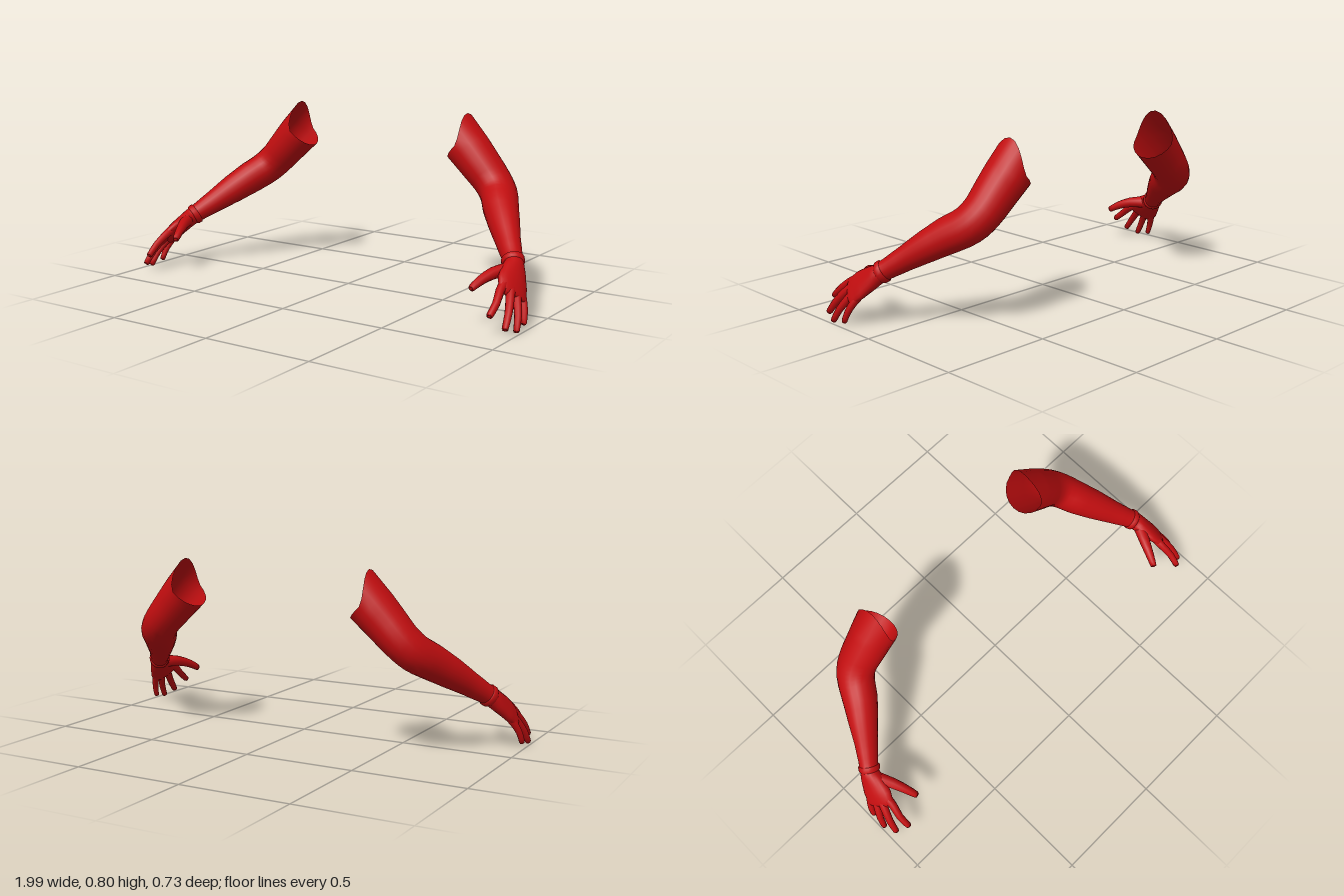
import * as THREE from 'three';

// Direction pointing out of the back of the hand, shared by every cross-section
const OUT = new THREE.Vector3(0.73, 0.68, 0);

// Loft through sections [x, y, z, thickness, width]; s mirrors in x, rim(angle) pulls back the first ring
function loft(sections, s, { sides = 16, steps = 3, rim = null } = {}) {
  const curve = new THREE.CatmullRomCurve3(
    sections.map(([x, y, z]) => new THREE.Vector3(x, y, z)), false, 'catmullrom', 0.5);
  const last = sections.length - 1;
  const rings = last * steps;
  const pos = [], index = [];
  for (let i = 0; i <= rings; i++) {
    const t = i / rings;
    const k = Math.min(Math.floor(i / steps), last - 1);
    const f = i / steps - k;
    const ru = THREE.MathUtils.lerp(sections[k][3], sections[k + 1][3], f);
    const rv = THREE.MathUtils.lerp(sections[k][4], sections[k + 1][4], f);
    const c = curve.getPoint(t);
    const d = curve.getTangent(t);
    const u = OUT.clone().addScaledVector(d, -OUT.dot(d)).normalize();
    const v = d.clone().cross(u);
    for (let j = 0; j < sides; j++) {
      const a = (j / sides) * Math.PI * 2;
      const p = c.clone()
        .addScaledVector(u, ru * Math.cos(a))
        .addScaledVector(v, rv * Math.sin(a));
      if (rim && i === 0) p.addScaledVector(d, -rim(a));
      pos.push(p.x * s, p.y, p.z);
      if (i < rings) {
        const j2 = (j + 1) % sides;
        const A = i * sides + j, B = i * sides + j2, C = A + sides, D = B + sides;
        if (s > 0) index.push(A, B, C, B, D, C);
        else index.push(A, C, B, B, C, D);
      }
    }
  }
  const g = new THREE.BufferGeometry();
  g.setAttribute('position', new THREE.Float32BufferAttribute(pos, 3));
  g.setIndex(index);
  g.computeVertexNormals();
  return g;
}

// Upper arm, elbow and forearm
const SLEEVE = [
  [0.457, 0.658, -0.268, 0.100, 0.102],
  [0.530, 0.582, -0.262, 0.092, 0.096],
  [0.598, 0.510, -0.255, 0.084, 0.090],
  [0.648, 0.458, -0.225, 0.081, 0.086],
  [0.695, 0.412, -0.155, 0.078, 0.080],
  [0.747, 0.362, -0.085, 0.070, 0.067],
  [0.805, 0.305, -0.010, 0.056, 0.051],
  [0.850, 0.262, 0.045, 0.046, 0.043],
  [0.874, 0.240, 0.075, 0.043, 0.041],
];

// Palm, from the wrist to the knuckles
const PALM = [
  [0.868, 0.245, 0.068, 0.040, 0.040],
  [0.880, 0.231, 0.086, 0.041, 0.046],
  [0.893, 0.210, 0.115, 0.037, 0.060],
  [0.912, 0.177, 0.160, 0.032, 0.074],
  [0.930, 0.147, 0.195, 0.024, 0.072],
  [0.936, 0.136, 0.208, 0.015, 0.062],
  [0.938, 0.133, 0.211, 0.001, 0.001],
];

// Thin raised band of the glove
const CUFF = [
  [0.860, 0.252, 0.058, 0.042, 0.041],
  [0.863, 0.249, 0.062, 0.050, 0.049],
  [0.872, 0.240, 0.074, 0.049, 0.048],
  [0.876, 0.236, 0.080, 0.042, 0.042],
];

// Each digit: path points and base/tip radius
const DIGITS = {
  thumb: { r: [0.030, 0.015], path: [[0.872, 0.222, 0.125], [0.838, 0.215, 0.190], [0.812, 0.193, 0.250], [0.795, 0.168, 0.292]] },
  indexFinger: { r: [0.021, 0.014], path: [[0.900, 0.182, 0.215], [0.903, 0.162, 0.255], [0.913, 0.125, 0.305], [0.910, 0.087, 0.353]] },
  middleFinger: { r: [0.021, 0.014], path: [[0.922, 0.165, 0.195], [0.938, 0.135, 0.232], [0.956, 0.085, 0.280], [0.963, 0.034, 0.321]] },
  ringFinger: { r: [0.020, 0.013], path: [[0.932, 0.152, 0.165], [0.952, 0.118, 0.195], [0.975, 0.065, 0.232], [0.984, 0.014, 0.262]] },
  littleFinger: { r: [0.019, 0.012], path: [[0.932, 0.150, 0.130], [0.955, 0.115, 0.150], [0.974, 0.070, 0.172], [0.981, 0.026, 0.190]] },
};

// Digit sections: taper along the path, then a rounded tip
function digitSections({ path, r }) {
  const n = path.length - 1;
  const sections = path.map((p, i) => {
    const q = THREE.MathUtils.lerp(r[0], r[1], i / n);
    return [...p, q, q];
  });
  const end = new THREE.Vector3(...path[n]);
  const dir = end.clone().sub(new THREE.Vector3(...path[n - 1])).normalize();
  for (const [along, scale] of [[0.45, 0.75], [0.7, 0.4], [0.8, 0.02]]) {
    const p = end.clone().addScaledVector(dir, (along - 0.2) * r[1]);
    sections.push([p.x, p.y, p.z, r[1] * scale, r[1] * scale]);
  }
  return sections;
}

function buildArm(s, material) {
  const arm = new THREE.Group();
  const add = (parent, name, geometry) => {
    const mesh = new THREE.Mesh(geometry, material);
    mesh.name = name;
    parent.add(mesh);
  };
  // Open shoulder end rises to a point on its upper side
  const rim = a => 0.1 * Math.pow(Math.max(0, Math.cos(a)), 1.5);
  add(arm, 'sleeve', loft(SLEEVE, s, { sides: 20, rim }));

  const hand = new THREE.Group();
  hand.name = 'hand';
  add(hand, 'cuff', loft(CUFF, s, { sides: 20, steps: 1 }));
  add(hand, 'palm', loft(PALM, s, { sides: 20 }));
  for (const [name, digit] of Object.entries(DIGITS)) {
    add(hand, name, loft(digitSections(digit), s, { sides: 10, steps: 2 }));
  }
  arm.add(hand);
  return arm;
}

export function createModel() {
  const red = new THREE.MeshStandardMaterial({ color: 0xc00d0f, side: THREE.DoubleSide });
  red.name = 'red';
  const model = new THREE.Group();
  model.name = 'armPair';
  for (const [name, s] of [['leftArm', 1], ['rightArm', -1]]) {
    const arm = buildArm(s, red);
    arm.name = name;
    model.add(arm);
  }
  return model;
}
